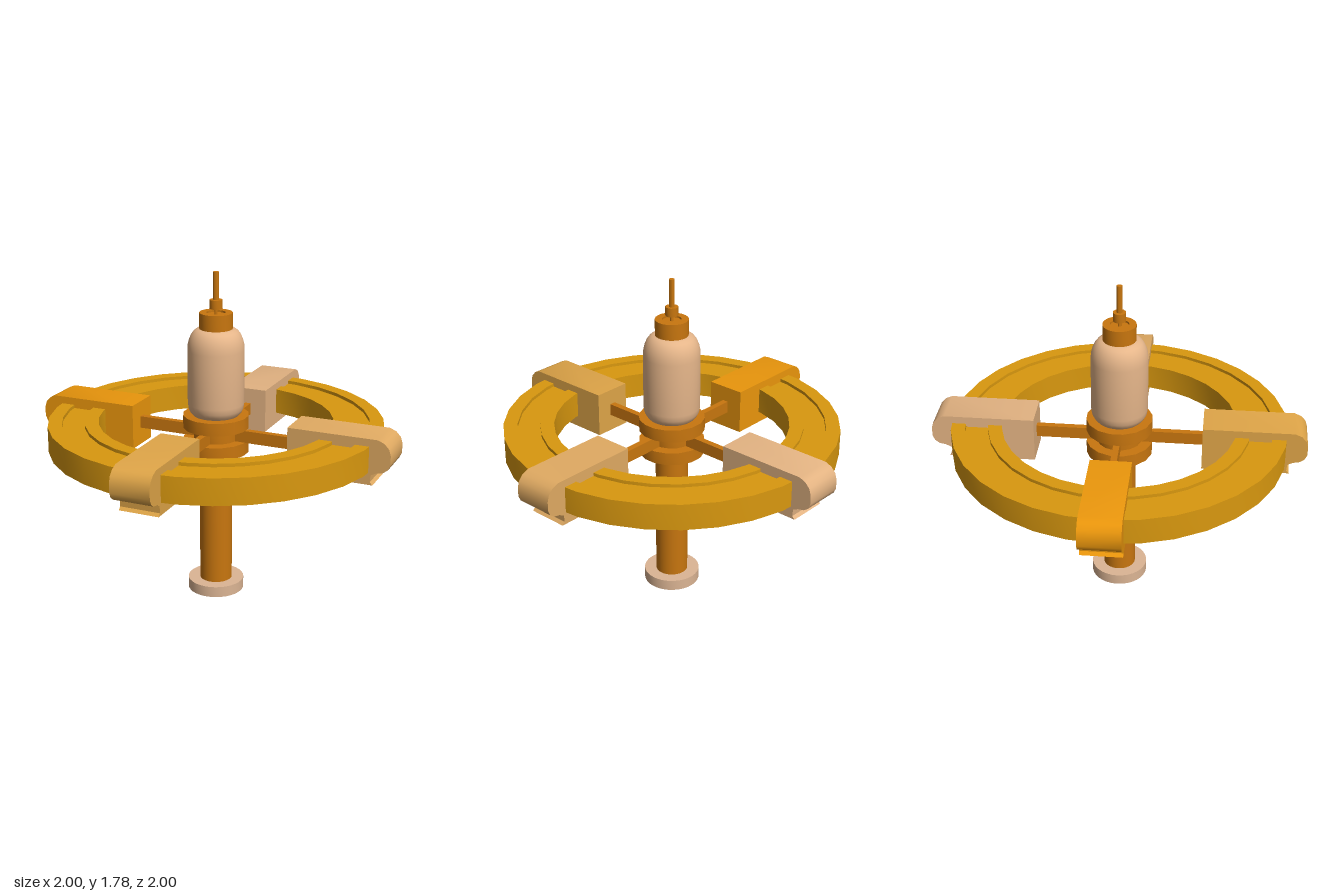
import * as THREE from 'three';
import { toCreasedNormals } from 'three/addons/utils/BufferGeometryUtils.js';

const COLORS = {
  metal: 0xc8760f, shell: 0xe6b68a, base: 0xdcb594, ring: 0xd9980f,
  pods: [0xe0aa62, 0xdfa548, 0xea960c, 0xe3b382],
};

function part(name, geometry, color) {
  const material = new THREE.MeshStandardMaterial({ color });
  const mesh = new THREE.Mesh(toCreasedNormals(geometry, 0.6), material);
  mesh.name = name;
  return mesh;
}

// Surface of revolution from [radius, y] pairs, listed bottom to top on the outside
function turned(name, profile, color, segments = 32) {
  const points = profile.map(([r, y]) => new THREE.Vector2(r, y));
  return part(name, new THREE.LatheGeometry(points, segments), color);
}

export function createModel() {
  const model = new THREE.Group();
  const body = new THREE.Group();
  body.name = 'station';
  body.position.set(-0.008, 0, -0.008);
  model.add(body);

  // Central mast and its hollow foot
  body.add(turned('baseCollar', [
    [0.075, 0.06], [0.075, 0], [0.153, 0], [0.153, 0.06], [0.075, 0.06],
  ], COLORS.base));
  body.add(turned('mast', [[0, 0.05], [0.088, 0.05], [0.088, 1.03], [0, 1.03]], COLORS.metal));

  // Hub: two flanges around a narrower core
  body.add(turned('hub', [
    [0, 0.81], [0.178, 0.81], [0.178, 0.88], [0.12, 0.88],
    [0.12, 0.945], [0.178, 0.945], [0.178, 1.015], [0, 1.015],
  ], COLORS.metal, 16));

  // Rounded capsule
  const capsule = [[0, 1.01], [0.12, 1.01], [0.137, 1.03], [0.147, 1.05], [0.151, 1.08]];
  for (let i = 0; i <= 6; i++) {
    const a = (i / 6) * Math.PI / 2;
    capsule.push([0.086 + 0.065 * Math.cos(a), 1.37 + 0.115 * Math.sin(a)]);
  }
  capsule.push([0, 1.485]);
  body.add(turned('capsule', capsule, COLORS.shell));

  // Neck, antenna socket and antenna
  body.add(turned('neck', [
    [0, 1.47], [0.088, 1.47], [0.088, 1.57], [0.05, 1.57], [0.05, 1.56], [0, 1.56],
  ], COLORS.metal));
  body.add(turned('antenna', [
    [0, 1.55], [0.009, 1.55], [0.009, 1.59], [0.034, 1.59], [0.034, 1.638],
    [0.015, 1.638], [0.015, 1.785], [0, 1.785],
  ], COLORS.metal, 16));

  // Habitat ring with a shallow track on top
  body.add(turned('habitatRing', [
    [0.628, 0.85], [0.897, 0.85], [0.897, 0.99], [0.822, 0.99], [0.822, 0.972],
    [0.702, 0.972], [0.702, 0.99], [0.628, 0.99], [0.628, 0.85],
  ], COLORS.ring));

  // Pod cross-section [radius, y]: block that hooks over the outside of the ring
  const podShape = new THREE.Shape([
    [0.448, 0.785], [0.912, 0.785], [0.897, 0.8], [0.9, 0.838], [0.93, 0.853],
    [0.965, 0.86], [0.988, 0.878], [1, 0.905], [1, 0.955], [0.99, 0.988],
    [0.965, 1.015], [0.93, 1.03], [0.448, 1.03],
  ].map(([r, y]) => new THREE.Vector2(r, y)));
  const podWidth = 0.214;

  // Four arms, each a spoke with a pod
  for (let i = 0; i < 4; i++) {
    const arm = new THREE.Group();
    arm.name = `arm${i + 1}`;
    arm.rotation.y = -(THREE.MathUtils.degToRad(11.5) + i * Math.PI / 2);

    const spoke = part('spoke', new THREE.BoxGeometry(0.37, 0.066, 0.034), COLORS.metal);
    spoke.position.set(0.28, 0.912, 0);
    arm.add(spoke);

    const podGeometry = new THREE.ExtrudeGeometry(podShape, { depth: podWidth, bevelEnabled: false });
    podGeometry.translate(0, 0, -podWidth / 2);
    arm.add(part('pod', podGeometry, COLORS.pods[i]));
    body.add(arm);
  }
  return model;
}
